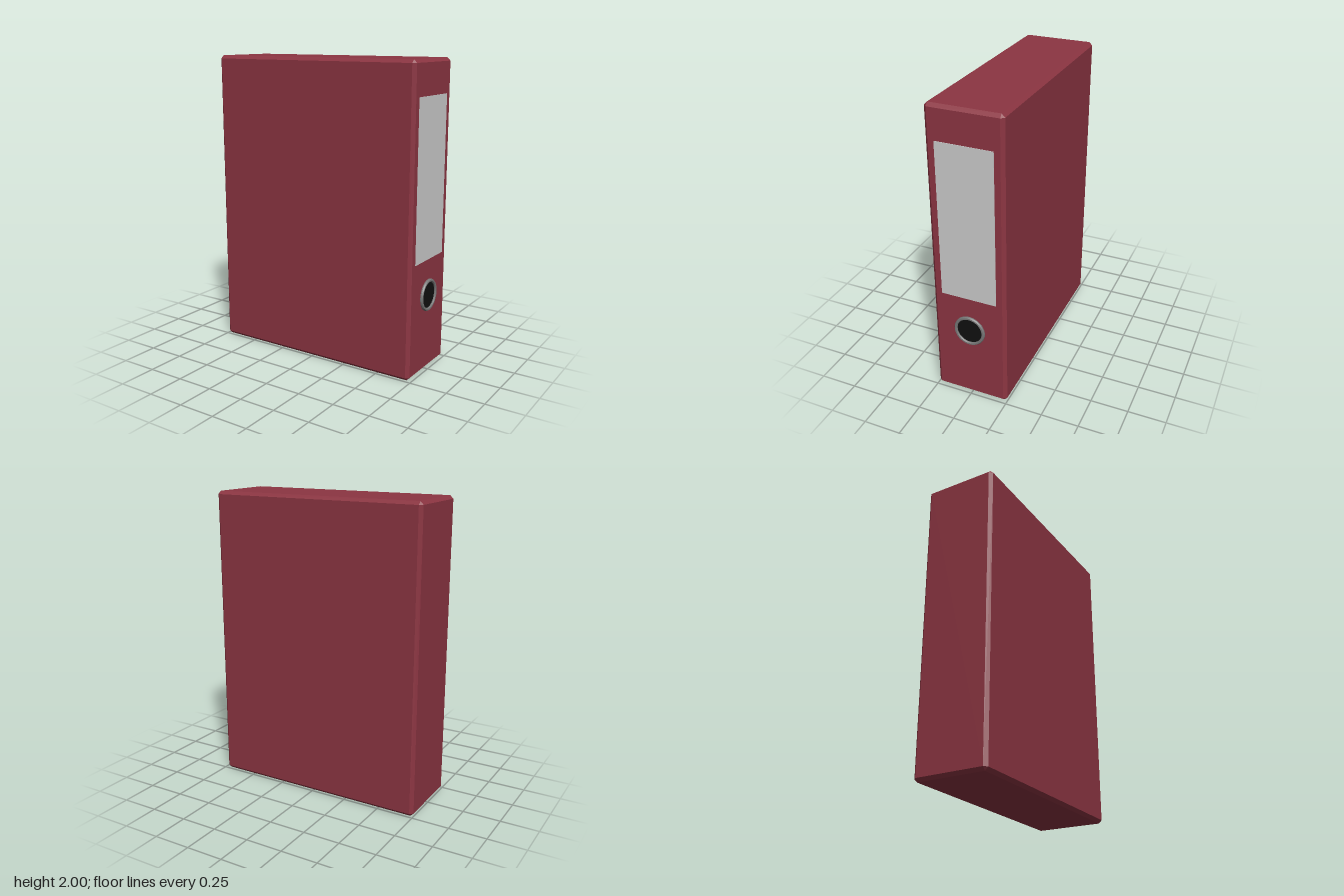
import * as THREE from 'three';
import { ConvexGeometry } from 'three/addons/geometries/ConvexGeometry.js';

const SPINE_X = 0.735; // outer face of the spine

// Box with every edge cut at 45 degrees
function chamferedBox(w, h, d, c) {
  const points = [];
  for (const sx of [-1, 1]) for (const sy of [-1, 1]) for (const sz of [-1, 1]) {
    const half = [sx * w / 2, sy * h / 2, sz * d / 2];
    for (let axis = 0; axis < 3; axis++) {
      const p = half.map((v, i) => (i === axis ? v : v - Math.sign(v) * c));
      points.push(new THREE.Vector3(...p));
    }
  }
  return new ConvexGeometry(points);
}

export function createModel() {
  const group = new THREE.Group();
  const add = (name, geometry, color, x, y, z = 0) => {
    const mesh = new THREE.Mesh(geometry, new THREE.MeshStandardMaterial({ color }));
    mesh.name = name;
    mesh.position.set(x, y, z);
    group.add(mesh);
    return mesh;
  };

  // Binder case
  const width = SPINE_X + 0.75;
  add('case', chamferedBox(width, 2, 0.494, 0.021), 0x8c3542, SPINE_X - width / 2, 1);

  // Paper label on the spine
  add('spineLabel', new THREE.BoxGeometry(0.004, 1.03, 0.372), 0xcccccc, SPINE_X + 0.001, 1.265);

  // Metal finger ring, turned so that its axis points out of the spine
  const profile = [[0.085, 0], [0.105, 0], [0.105, 0.007], [0.1, 0.015], [0.09, 0.015], [0.085, 0.01], [0.085, 0]]
    .map(([r, h]) => new THREE.Vector2(r, h));
  const ringGeometry = new THREE.LatheGeometry(profile, 48).toNonIndexed();
  ringGeometry.computeVertexNormals();
  add('fingerRing', ringGeometry, 0x777777, SPINE_X, 0.51).rotation.z = -Math.PI / 2;

  // Dark finger hole inside the ring
  add('fingerHole', new THREE.CircleGeometry(0.087, 48), 0x101010, SPINE_X + 0.004, 0.51).rotation.y = Math.PI / 2;

  return group;
}
